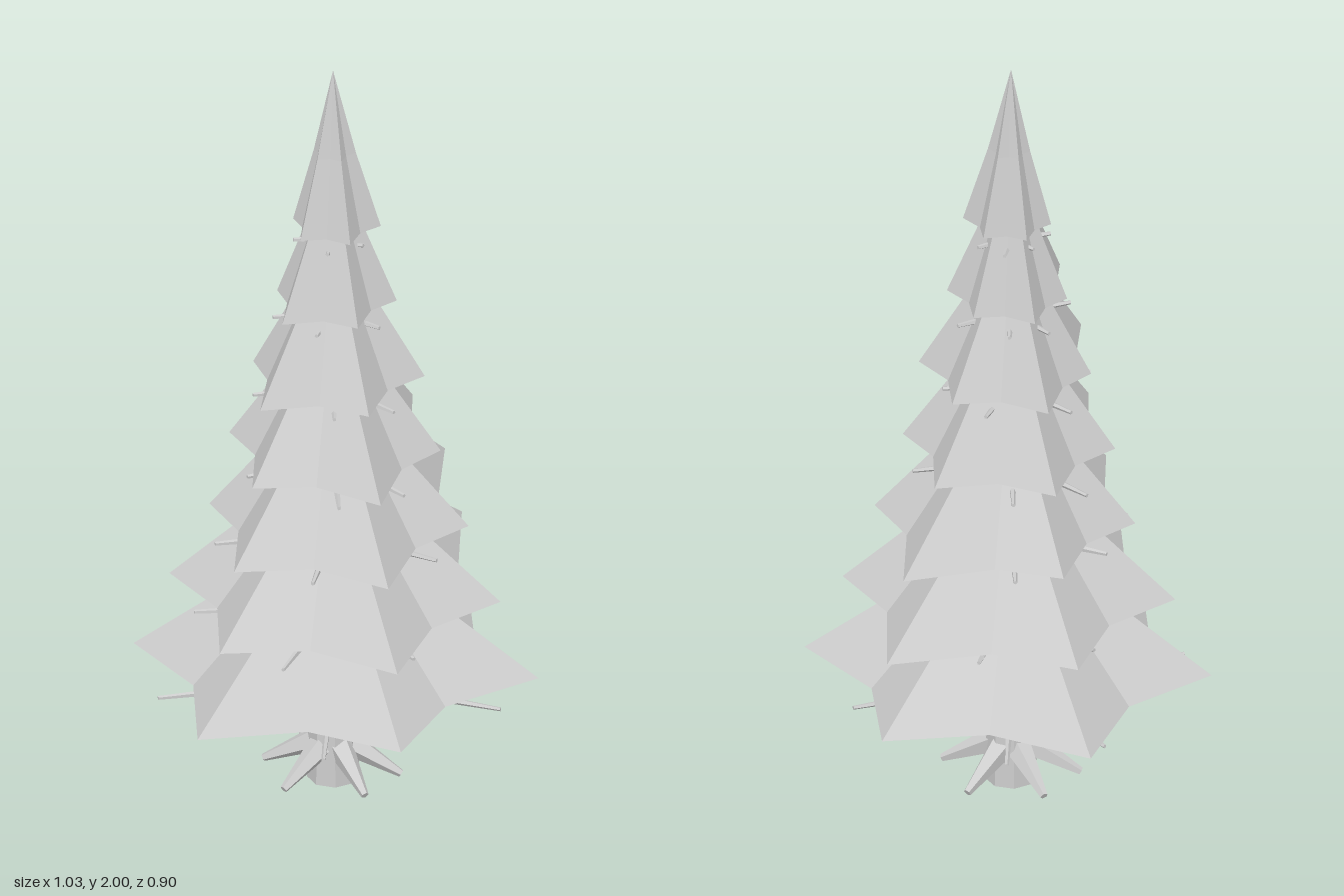
import * as THREE from 'three';

const grey = new THREE.MeshStandardMaterial({ color: 0xcccccc, flatShading: true });
grey.name = 'plain grey';

// Tip radii of each star-shaped tier, starting at +x and turning towards +z
const TIERS = [
  [0.515, 0.515, 0.49, 0.52, 0.50, 0.53],
  [0.495, 0.42, 0.465, 0.435, 0.41, 0.447],
  [0.43, 0.34, 0.40, 0.38, 0.31, 0.35],
  [0.305, 0.27, 0.345, 0.31, 0.26, 0.30],
  [0.235, 0.23, 0.26, 0.28, 0.20, 0.25],
  [0.15, 0.16, 0.18, 0.195, 0.14, 0.16],
  [0.11, 0.12, 0.125, 0.125, 0.10, 0.105],
];
const STEP = 0.2075, FIRST = 0.325, HEIGHT = 0.43;

function seeded(seed) {
  return () => {
    seed = (seed * 16807) % 2147483647;
    return seed / 2147483647;
  };
}

// One tier: a shallow pointed underside, a star rim and a concave sloping top
function tierGeometry(tips, y) {
  const rim = [];
  tips.forEach((r, i) => rim.push(r, 0.36 * (r + tips[(i + 1) % 6])));
  const drop = 0.02 + 0.03 * tips[0];
  const profile = [[0, -drop], [0.6, -0.55 * drop], [1, 0], [0.48, 0.47 * HEIGHT], [0, HEIGHT]];
  const rings = profile.map(([scale, h]) => rim.map((r, i) => {
    const a = i * Math.PI / 6;
    return [r * scale * Math.cos(a), y + h, r * scale * Math.sin(a)];
  }));
  const pos = [];
  for (let k = 0; k < rings.length - 1; k++) {
    const low = rings[k], up = rings[k + 1];
    for (let i = 0; i < 12; i++) {
      const j = (i + 1) % 12;
      if (profile[k][0] > 0) pos.push(...low[j], ...low[i], ...up[i]);
      if (profile[k + 1][0] > 0) pos.push(...low[j], ...up[i], ...up[j]);
    }
  }
  const geo = new THREE.BufferGeometry();
  geo.setAttribute('position', new THREE.Float32BufferAttribute(pos, 3));
  geo.computeVertexNormals();
  return geo;
}

// Tapered stick between two points
function stick(name, from, to, r0, r1, sides) {
  const dir = to.clone().sub(from);
  const mesh = new THREE.Mesh(new THREE.CylinderGeometry(r1, r0, dir.length(), sides), grey);
  mesh.position.copy(from).addScaledVector(dir, 0.5);
  mesh.quaternion.setFromUnitVectors(new THREE.Vector3(0, 1, 0), dir.normalize());
  mesh.name = name;
  return mesh;
}

const polar = (r, y, a) => new THREE.Vector3(r * Math.cos(a), y, r * Math.sin(a));

export function createModel() {
  const tree = new THREE.Group();
  tree.name = 'pineTree';

  // Trunk, mostly hidden by the foliage
  const trunk = new THREE.Mesh(new THREE.CylinderGeometry(0.012, 0.065, 1.8, 8), grey);
  trunk.position.y = 0.9;
  trunk.name = 'trunk';
  tree.add(trunk);

  // Roots spreading from the foot
  const roots = new THREE.Group();
  roots.name = 'roots';
  for (let i = 0; i < 6; i++) {
    const a = i * Math.PI / 3 + 0.12 * Math.sin(i * 2.3);
    roots.add(stick('root', polar(0.03, 0.105, a), polar(0.175, 0.03, a), 0.036, 0.01, 5));
  }
  tree.add(roots);

  // Foliage tiers
  const foliage = new THREE.Group();
  foliage.name = 'foliage';
  TIERS.forEach((tips, k) => {
    const tier = new THREE.Mesh(tierGeometry(tips, FIRST + k * STEP), grey);
    tier.name = 'foliageTier';
    foliage.add(tier);
  });
  tree.add(foliage);

  // Bare branches poking out below each tier
  const branches = new THREE.Group();
  branches.name = 'branches';
  const random = seeded(41);
  const reach = [0.445, 0.34, 0.30, 0.26, 0.20, 0.15, 0.10];
  const lowest = [0.53, 1.25, 2.5, 3.77, 5.03, 5.64];
  reach.forEach((r, k) => {
    const y = 0.277 + k * 0.208;
    const thick = 0.016 - 0.001 * k;
    for (let i = 0; i < 6; i++) {
      const a = k === 0 ? lowest[i] : (i + 0.5 + 0.5 * (random() - 0.5)) * Math.PI / 3;
      const len = k === 0 ? (i === 3 ? r : r * (0.94 + 0.06 * (i % 2))) : r * (0.85 + 0.2 * random());
      branches.add(stick('branch', polar(0.01, y - 0.005, a), polar(len, y + 0.002, a), thick, 0.005, 5));
    }
  });
  tree.add(branches);

  return tree;
}
